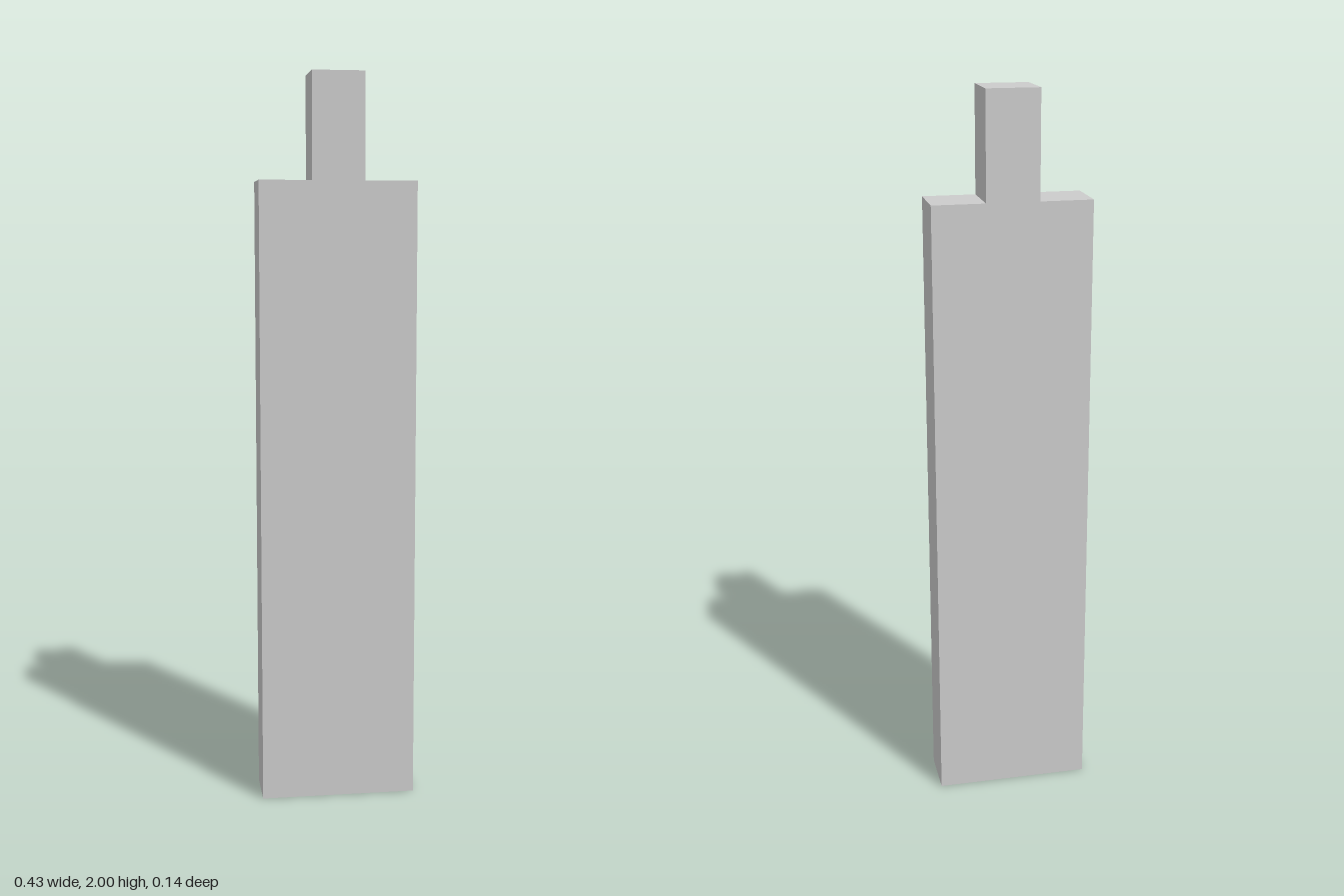
import * as THREE from 'three';

// All proportions are multiples of one square unit
const U = 1 / 7;

export function createModel() {
  const group = new THREE.Group();
  group.name = 'tabbedPlate';

  // Stepped outline: wide body with a narrow square tab on top
  const outline = new THREE.Shape([
    [-1.5, 0], [1.5, 0], [1.5, 12], [0.5, 12],
    [0.5, 14], [-0.5, 14], [-0.5, 12], [-1.5, 12],
  ].map(([x, y]) => new THREE.Vector2(x * U, y * U)));

  const geometry = new THREE.ExtrudeGeometry(outline, { depth: U, bevelEnabled: false });
  geometry.translate(0, 0, -U / 2);

  const plate = new THREE.Mesh(
    geometry,
    new THREE.MeshStandardMaterial({ color: 0xcccccc, flatShading: true }),
  );
  plate.name = 'bodyWithTab';
  group.add(plate);
  return group;
}
